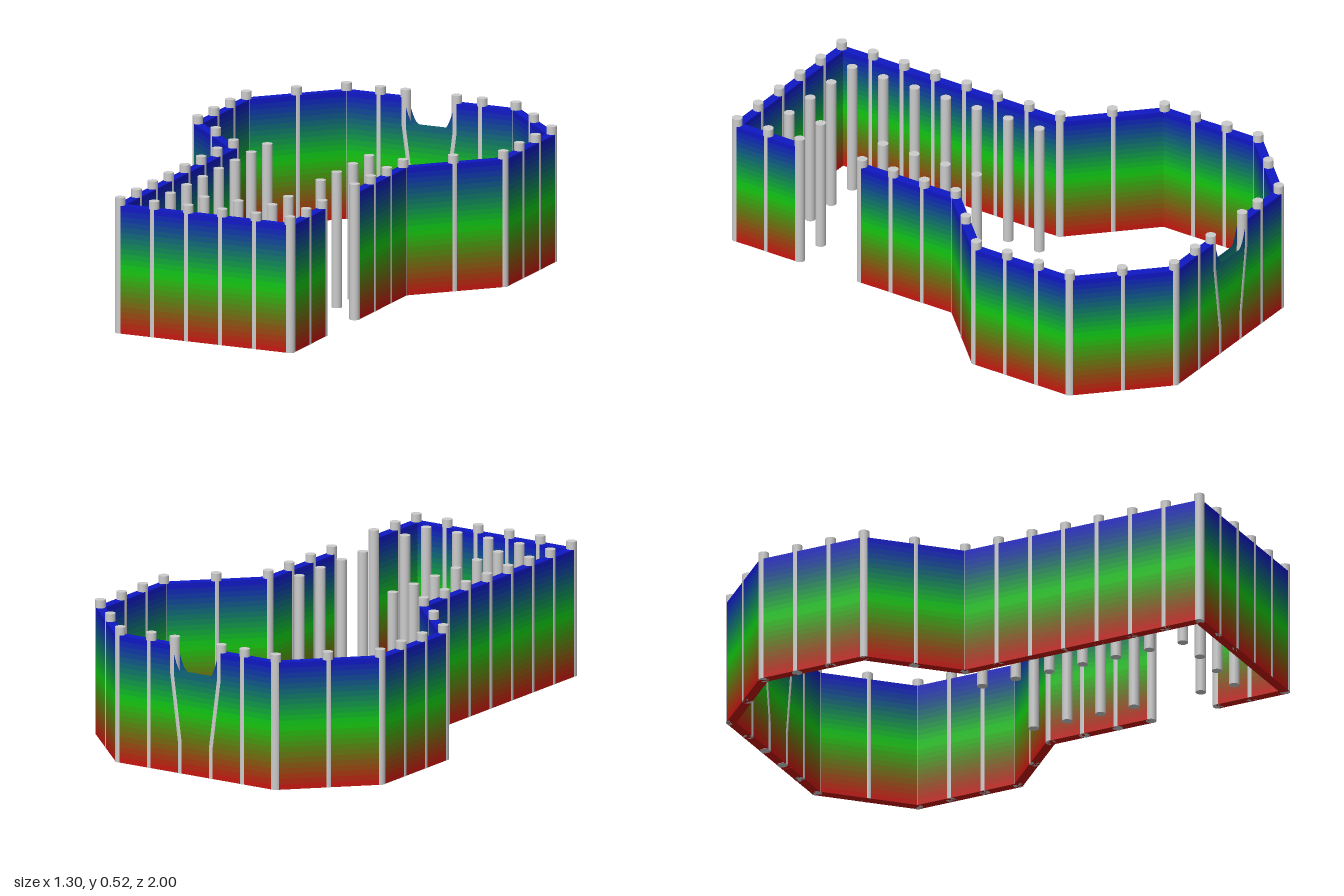
import * as THREE from 'three';
import { mergeGeometries } from 'three/addons/utils/BufferGeometryUtils.js';

const U = 0.14;            // spacing of the posts
const WALL_H = 0.49, POST_H = 0.52;
const THICK = 0.036, POST_R = 0.02;
const BANDS = 24;          // colour steps from red through green to blue
const GATE = 0.105;        // half width of the notched panel

function bandColor(t) {
  const lo = 0.06, hi = 0.8;
  const mix = (d) => lo + (hi - lo) * Math.max(0, 1 - 2 * Math.abs(t - d));
  return new THREE.Color().setRGB(mix(0), mix(0.5), mix(1), THREE.SRGBColorSpace);
}

// One colour band of a straight wall from a to b ([x, z] points)
function wallBand(a, b, y0, y1, isBottom, isTop) {
  const dx = b[0] - a[0], dz = b[1] - a[1];
  const g = new THREE.BoxGeometry(Math.hypot(dx, dz), y1 - y0, THICK);
  // Keep the top and bottom faces only at the ends of the stack
  const faces = Array.from(g.index.array).filter((_, i) => {
    const side = Math.floor(i / 6);
    return !(side === 2 && !isTop) && !(side === 3 && !isBottom);
  });
  g.setIndex(faces);
  g.rotateY(-Math.atan2(dz, dx));
  g.translate((a[0] + b[0]) / 2, (y0 + y1) / 2, (a[1] + b[1]) / 2);
  return g;
}

// Height of the notched panel: low in the middle, curving up to both posts
function notchHeight(x) {
  const t = Math.max(0, (Math.abs(x) - 0.055) / (GATE - 0.055));
  return 0.385 + (WALL_H - 0.385) * t * t;
}

// One colour band of the hollow notched panel, as two thin sheets
function gateBand(y0, y1) {
  return [1, -1].map((side) => {
    const g = new THREE.PlaneGeometry(2 * GATE, 1, 24, 1);
    const p = g.attributes.position;
    for (let i = 0; i < p.count; i++) {
      const y = p.getY(i) > 0 ? y1 : y0;
      p.setY(i, Math.min(y, notchHeight(p.getX(i))));
    }
    if (side < 0) g.rotateY(Math.PI);
    g.translate(0, 0, -7 * U + side * THICK / 2);
    return g;
  });
}

export function createModel() {
  const model = new THREE.Group();
  model.name = 'fencedEnclosure';

  // Wall runs, each a chain of [x, z] corners
  const A = 2.5 * U, B = 4.5 * U;
  const runs = [
    [[GATE, -7 * U], [A, -7 * U], [B, -5 * U], [B, -2 * U], [A, 0], [A, 3 * U]],
    [[-GATE, -7 * U], [-A, -7 * U], [-B, -5 * U], [-B, -2 * U], [-A, 0],
      [-A, 7 * U], [A, 7 * U], [A, 5 * U]],
  ];

  const walls = new THREE.Group();
  walls.name = 'walls';
  for (let k = 0; k < BANDS; k++) {
    const y0 = WALL_H * k / BANDS, y1 = WALL_H * (k + 1) / BANDS;
    const color = bandColor((k + 0.5) / BANDS);
    const parts = [];
    for (const run of runs) {
      for (let i = 1; i < run.length; i++) {
        parts.push(wallBand(run[i - 1], run[i], y0, y1, k === 0, k === BANDS - 1));
      }
    }
    const wall = new THREE.Mesh(mergeGeometries(parts), new THREE.MeshStandardMaterial({ color }));
    wall.name = 'wallBand';
    const gate = new THREE.Mesh(mergeGeometries(gateBand(y0, y1)),
      new THREE.MeshStandardMaterial({ color, side: THREE.DoubleSide }));
    gate.name = 'notchedPanelBand';
    walls.add(wall, gate);
  }

  // Floor of the hollow notched panel
  const sill = new THREE.Mesh(new THREE.PlaneGeometry(2 * GATE, THICK).rotateX(-Math.PI / 2),
    new THREE.MeshStandardMaterial({ color: bandColor(0), side: THREE.DoubleSide }));
  sill.name = 'notchedPanelSill';
  sill.position.set(0, 0.001, -7 * U);
  walls.add(sill);
  model.add(walls);

  // Post positions in steps of U
  const spots = [];
  for (const s of [-1, 1]) {
    spots.push([s * 2.5, -7], [s * 1.5, -7], [s * 3.5, -6], [s * 3.5, -1]);
    for (let z = -5; z <= -2; z++) spots.push([s * 4.5, z]);
    for (let z = 0; z <= 7; z++) {
      if (s > 0 && z === 4) continue;            // side entrance
      spots.push([s * 2.5, z], [s * 1.5, z]);    // wall post and inner post
    }
    spots.push([s * 0.5, 6], [s * 0.5, 7]);
  }

  const grey = new THREE.MeshStandardMaterial({ color: 0xcccccc });
  const posts = new THREE.Group();
  posts.name = 'posts';
  const postGeo = new THREE.CylinderGeometry(POST_R, POST_R, POST_H, 16).translate(0, POST_H / 2, 0);
  for (const [x, z] of spots) {
    const post = new THREE.Mesh(postGeo, grey);
    post.name = 'post';
    post.position.set(x * U, 0, z * U);
    posts.add(post);
  }

  // Bent posts beside the notch: closer together near the ground
  for (const s of [-1, 1]) {
    const g = new THREE.CylinderGeometry(POST_R, POST_R, POST_H, 16, 26).translate(0, POST_H / 2, 0);
    const p = g.attributes.position;
    for (let i = 0; i < p.count; i++) {
      const t = THREE.MathUtils.clamp((p.getY(i) - 0.12) / 0.26, 0, 1);
      p.setX(i, p.getX(i) + s * THREE.MathUtils.lerp(0.07, GATE, t));
    }
    g.computeVertexNormals();
    const post = new THREE.Mesh(g, grey);
    post.name = 'bentPost';
    post.position.z = -7 * U;
    posts.add(post);
  }
  model.add(posts);
  return model;
}
